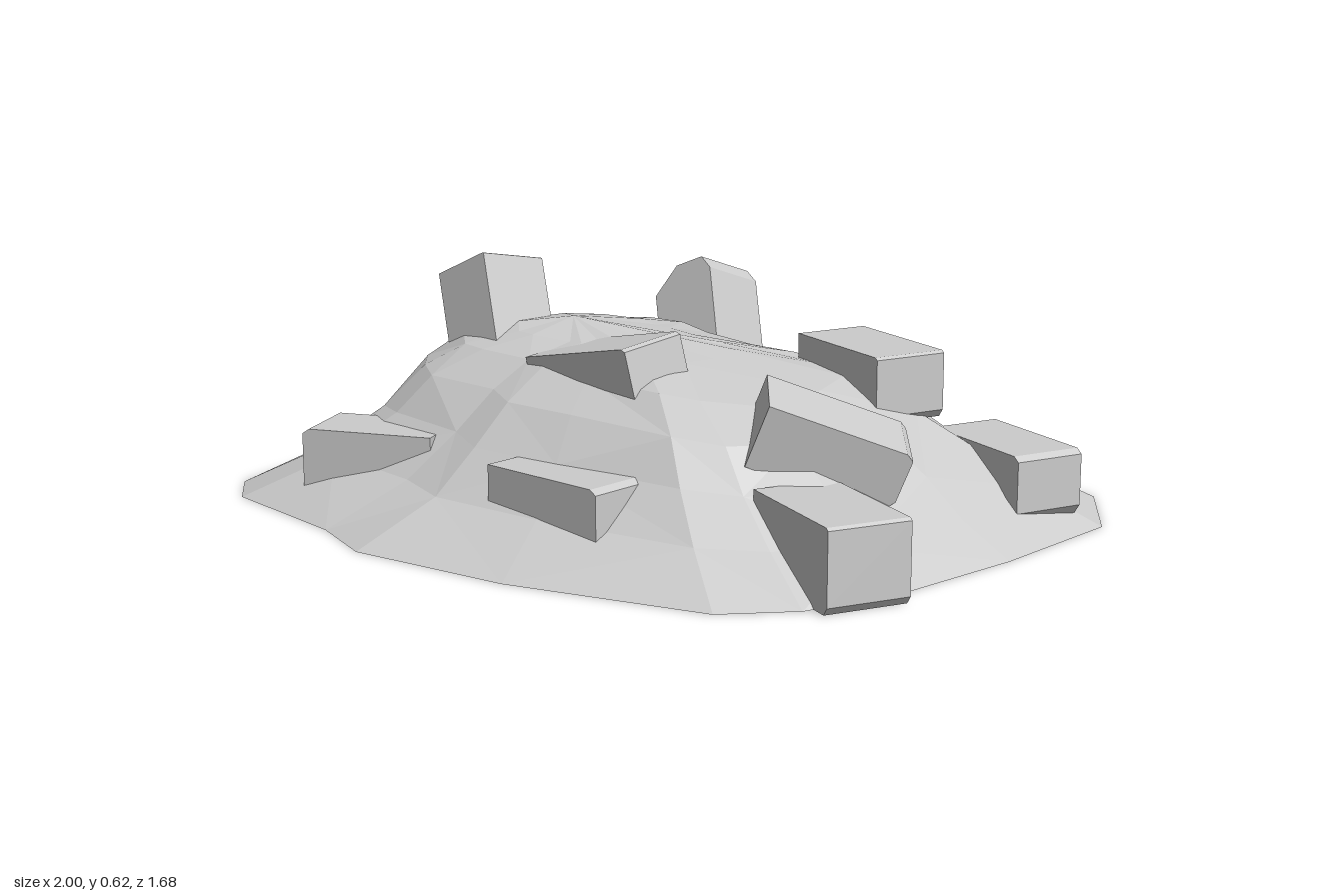
import * as THREE from 'three';

const material = new THREE.MeshStandardMaterial({ color: 0xcccccc, flatShading: true, side: THREE.DoubleSide });

// small repeatable noise in -1..1
function noise(i, j) {
  const s = Math.sin(i * 12.9898 + j * 78.233) * 43758.5453;
  return (s - Math.floor(s)) * 2 - 1;
}

// ground outline of the mound, as x, z
const outline = [
  [-0.2, -0.84], [-0.42, -0.84], [-0.67, -0.79], [-0.94, -0.54], [-0.94, -0.15], [-1, 0.08], [-0.98, 0.4],
  [-0.94, 0.62], [-0.82, 0.72], [-0.42, 0.77], [-0.22, 0.84], [0.22, 0.78], [0.72, 0.62], [0.85, 0.47],
  [0.93, 0.25], [0.97, -0.15], [0.97, -0.55], [0.8, -0.78], [0.63, -0.79], [0.53, -0.84], [0.2, -0.8],
];

// ring heights, and how far each ring reaches toward each side
const heights = [0, 0.1, 0.2, 0.3, 0.37, 0.41];
const reach = {
  right: [1, 0.9, 0.8, 0.7, 0.54, 0.25],
  left: [1, 0.86, 0.75, 0.65, 0.53, 0.36],
  front: [1, 0.74, 0.585, 0.46, 0.32, 0.17],
  back: [1, 0.87, 0.74, 0.58, 0.42, 0.22],
};

function createMound() {
  const cx = -0.1, cz = 0.03, n = outline.length;
  const positions = [], indices = [];
  heights.forEach((h, k) => {
    outline.forEach(([x, z], i) => {
      const dx = x - cx, dz = z - cz;
      const w = (dx * dx) / (dx * dx + dz * dz);
      const sx = (dx > 0 ? reach.right : reach.left)[k];
      const sz = (dz > 0 ? reach.front : reach.back)[k];
      // the diagonals fall away sooner than the sides
      const corner = 1 - 0.24 * w * (1 - w) * Math.min(k, 2);
      const s = (sx * w + sz * (1 - w)) * corner * (k ? 1 + 0.025 * noise(i, k) : 1);
      const px = cx + dx * s, pz = cz + dz * s;
      const y = k ? h * (1 - 0.15 * px) + 0.008 * noise(k, i + 5) : 0;
      positions.push(px, y, pz);
    });
  });
  positions.push(cx - 0.17, 0.455, cz + 0.02);
  // join the rings, then close the summit
  for (let k = 0; k < heights.length; k++) {
    for (let i = 0; i < n; i++) {
      const j = (i + 1) % n, a = k * n + i, b = k * n + j;
      if (k === heights.length - 1) indices.push(a, b, heights.length * n);
      else if ((i + k) % 2) indices.push(a, b, b + n, a, b + n, a + n);
      else indices.push(a, b, a + n, b, b + n, a + n);
    }
  }
  const geometry = new THREE.BufferGeometry();
  geometry.setAttribute('position', new THREE.Float32BufferAttribute(positions, 3));
  geometry.setIndex(indices);
  geometry.computeVertexNormals();
  const mesh = new THREE.Mesh(geometry, material);
  mesh.name = 'mound';
  return mesh;
}

// a brick with two broken corners; rotation is [yaw, tilt, spin]
function createBrick(name, [l, h, d], position, [yaw, tilt, spin], chip = 0.03) {
  const x = l / 2, y = h / 2;
  const shape = new THREE.Shape([
    [-x, -y], [x - chip, -y], [x, -y + chip * 1.3], [x, y - chip * 0.4], [x - chip * 0.6, y], [-x, y],
  ].map(([u, v]) => new THREE.Vector2(u, v)));
  const geometry = new THREE.ExtrudeGeometry(shape, { depth: d, bevelEnabled: false });
  geometry.translate(0, 0, -d / 2);
  const mesh = new THREE.Mesh(geometry, material);
  mesh.name = name;
  mesh.position.set(...position);
  mesh.rotation.set(spin, yaw, tilt, 'YZX');
  return mesh;
}

export function createModel() {
  const group = new THREE.Group();
  group.name = 'rubblePile';
  group.add(createMound());

  // bricks lying around the foot
  const brick = [0.35, 0.19, 0.19];
  group.add(
    createBrick('leftBackBrick', brick, [-0.715, 0.105, -0.235], [0.51 + Math.PI, 0, 0]),
    createBrick('leftFrontBrick', brick, [-0.525, 0.105, 0.495], [0.45 + Math.PI, 0, 0]),
    createBrick('frontBrick', [0.36, 0.18, 0.18], [0.15, 0.11, 0.495], [0, 0, 0]),
    createBrick('rightFrontBrick', [0.36, 0.2, 0.21], [0.79, 0.1, 0.3], [-0.4, 0, 0], 0.015),
    createBrick('rightBackBrick', [0.36, 0.18, 0.19], [0.73, 0.11, -0.475], [-0.34, 0, 0]),
  );

  // bricks lodged in the top
  group.add(
    createBrick('flatTopBrick', [0.36, 0.17, 0.2], [0.4, 0.335, -0.34], [-0.32, 0, 0], 0.015),
    createBrick('wedgedBrick', [0.37, 0.16, 0.19], [0, 0.36, 0.2], [-0.06, 0.2, 0.1], 0.02),
    createBrick('slidingBrick', [0.36, 0.16, 0.21], [0.61, 0.265, 0.09], [0.78, -0.35, 0.15], 0.03),
    createBrick('leaningBrick', [0.36, 0.2, 0.2], [-0.26, 0.335, -0.475], [2.49, 1.05, 0.7], 0.065),
    createBrick('standingBrick', [0.19, 0.34, 0.2], [-0.465, 0.41, 0.13], [0, 0.42, -0.2], 0.005),
  );
  return group;
}
